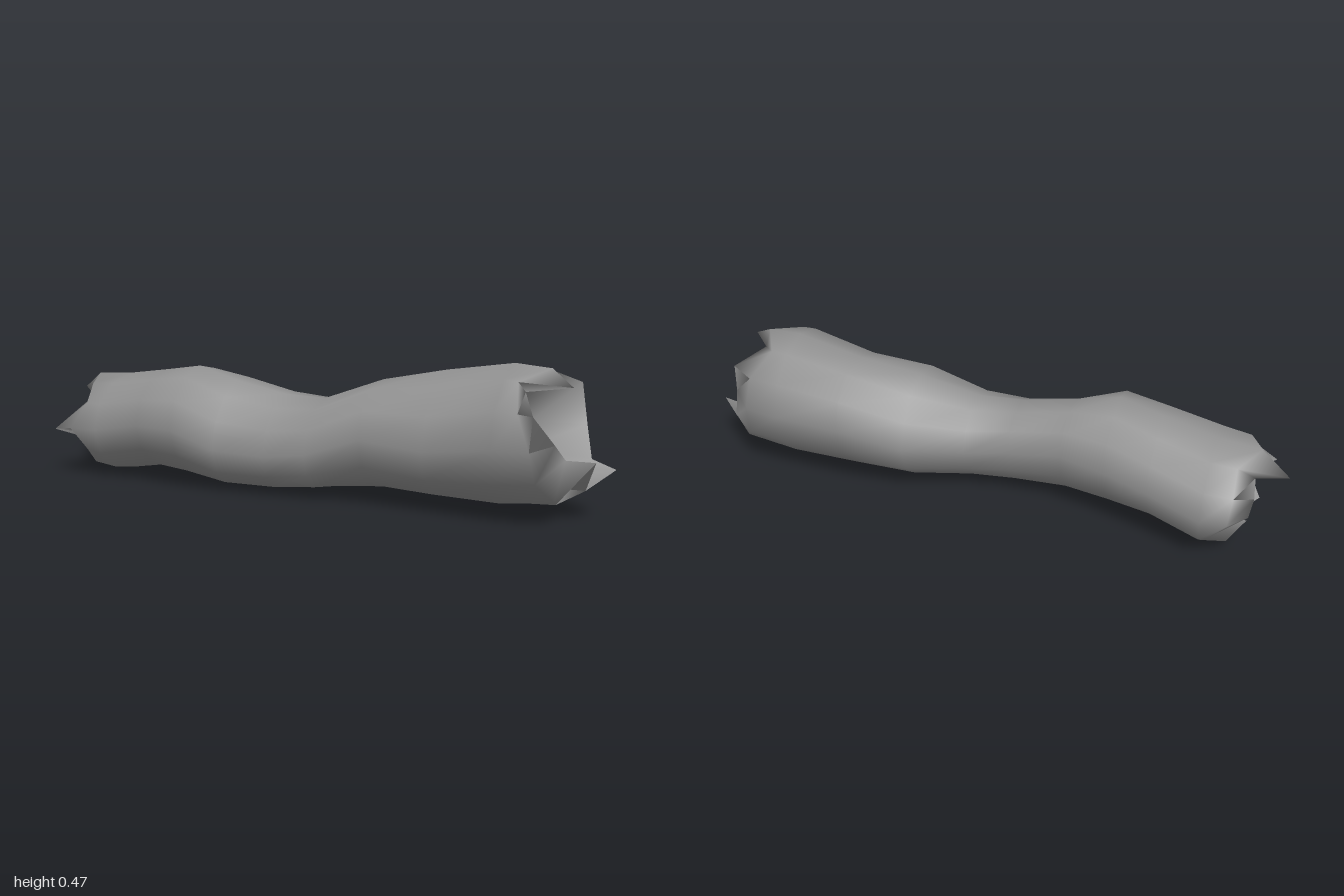
import * as THREE from 'three';

const SIDES = 12; // column 0 is the top, 3 the front, 6 the bottom, 9 the back

// Cross-sections: x, top y, bottom y, front z, back z, shear (raises the back)
const sections = [
  [-0.76, 0.352, 0.0, 0.235, -0.212, 0],
  [-0.58, 0.38, 0.035, 0.237, -0.165, 0],
  [-0.43, 0.405, 0.03, 0.247, -0.13, 0.01],
  [-0.28, 0.365, 0.023, 0.225, -0.105, 0.045],
  [-0.1, 0.33, 0.02, 0.2, -0.1, 0.035],
  [0.05, 0.325, 0.025, 0.197, -0.122, 0.015],
  [0.24, 0.395, 0.035, 0.182, -0.2, -0.01],
  [0.45, 0.437, 0.038, 0.178, -0.252, 0.03],
  [0.68, 0.475, 0.03, 0.2, -0.242, 0.015],
];

// Jagged broken rims, one point per column
const rightRim = [
  [-1, 0.28, -0.03], [-0.92, 0.27, 0.04], [-0.86, 0.26, 0.14], [-0.94, 0.165, 0.23],
  [-0.86, 0.14, 0.17], [-0.91, 0.09, 0.1], [-0.83, 0.05, 0.02], [-0.89, 0.1, -0.05],
  [-0.8, 0.13, -0.14], [-0.9, 0.18, -0.14], [-0.91, 0.26, -0.15], [-0.9, 0.29, -0.08],
];
const leftRim = [
  [0.88, 0.418, 0.03], [0.76, 0.41, 0.12], [0.8, 0.345, 0.17], [0.88, 0.275, 0.21],
  [0.9, 0.225, 0.165], [0.96, 0.2, 0.045], [0.92, 0.1, 0], [1, 0.165, -0.045],
  [0.9, 0.17, -0.14], [0.88, 0.28, -0.145], [0.85, 0.405, -0.185], [0.77, 0.45, -0.1],
];

// Sheared ellipse for one section
function ring([x, top, bottom, front, back, shear]) {
  return Array.from({ length: SIDES }, (_, k) => {
    const a = (k / SIDES) * Math.PI * 2;
    const c = Math.cos(a), s = Math.sin(a);
    return [
      x,
      (top + bottom) / 2 + ((top - bottom) / 2) * c - shear * s,
      (front + back) / 2 + ((front - back) / 2) * s,
    ];
  });
}

// Bore ring: the section shrunk about its centre, tightest at the waist
function bore(section) {
  const [x, top, bottom, front, back] = section;
  const scale = 0.58 + 0.2 * Math.abs(x);
  const cy = (top + bottom) / 2, cz = (front + back) / 2;
  return ring(section).map(([, y, z]) => [x, cy + (y - cy) * scale, cz + (z - cz) * scale]);
}

// Shoulder ring: follows the rim along x but keeps most of the body's width
function shoulder(body, rim) {
  return body.map((p, k) => p.map((v, j) => v + (rim[k][j] - v) * (j === 0 ? 0.6 : 0.14)));
}

// Closed skin through a loop of rings, the last joined to the first
function loftLoop(rings) {
  const index = [];
  for (let i = 0; i < rings.length; i++) {
    const next = ((i + 1) % rings.length) * SIDES;
    for (let k = 0; k < SIDES; k++) {
      const n = (k + 1) % SIDES;
      const a = i * SIDES + k, b = i * SIDES + n;
      index.push(a, b, next + k, b, next + n, next + k);
    }
  }
  const geometry = new THREE.BufferGeometry();
  geometry.setAttribute('position', new THREE.Float32BufferAttribute(rings.flat(2), 3));
  geometry.setIndex(index);
  geometry.computeVertexNormals();
  return geometry;
}

export function createModel() {
  const group = new THREE.Group();
  group.name = 'hollowLog';

  // Outer bark, splintered ends and narrow bore in one skin
  const body = sections.map(ring);
  const rings = [
    rightRim,
    shoulder(body[0], rightRim),
    ...body,
    shoulder(body[body.length - 1], leftRim),
    leftRim,
    ...sections.map(bore).reverse(),
  ];
  const material = new THREE.MeshStandardMaterial({ color: 0x939393, side: THREE.DoubleSide });
  const shell = new THREE.Mesh(loftLoop(rings), material);
  shell.name = 'shell';
  group.add(shell);
  return group;
}
